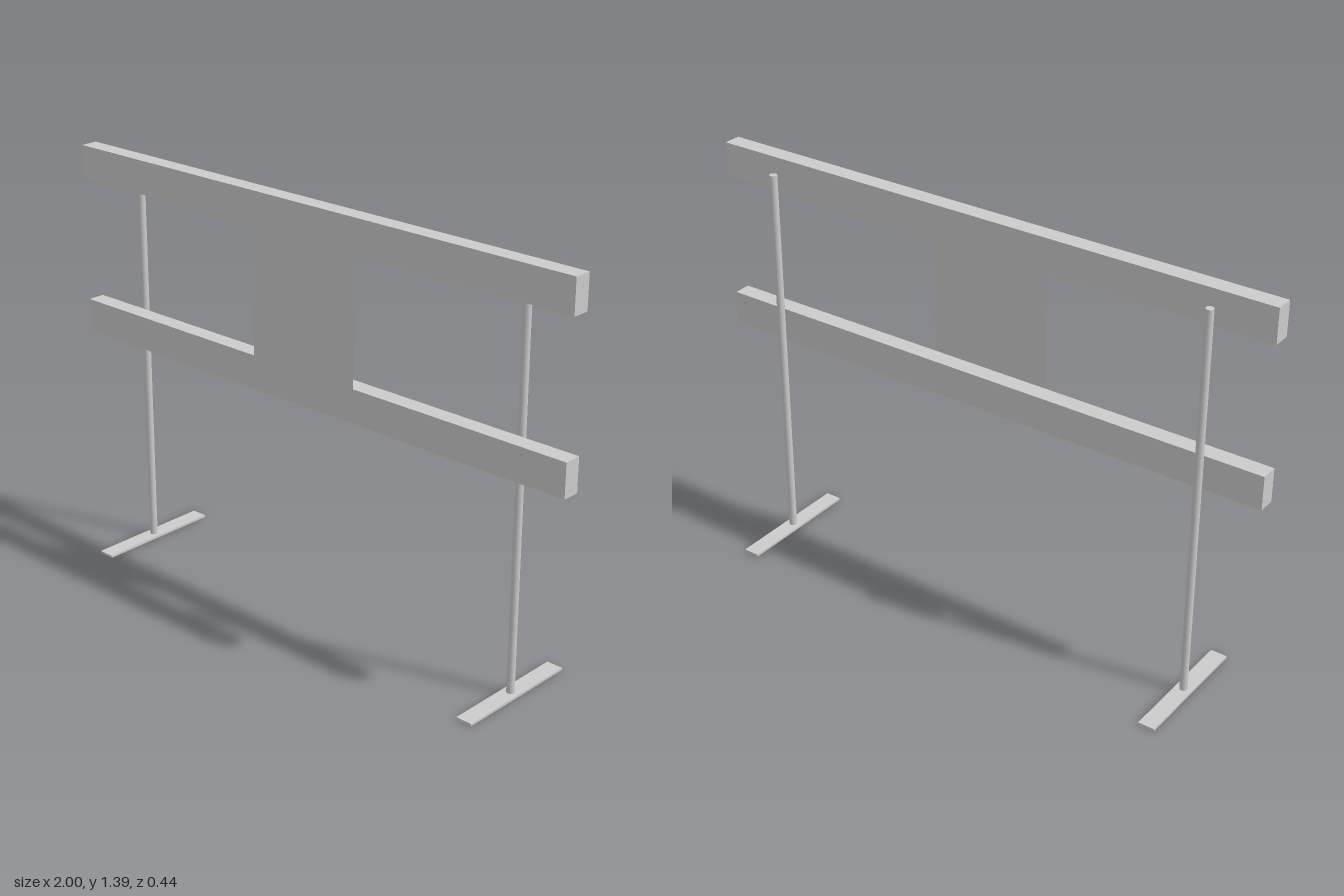
import * as THREE from 'three';

export function createModel() {
  const group = new THREE.Group();
  const material = new THREE.MeshStandardMaterial({ color: 0xcccccc });
  const thin = new THREE.MeshStandardMaterial({ color: 0xcccccc, side: THREE.DoubleSide });

  const add = (name, geometry, x, y, z, mat = material) => {
    const mesh = new THREE.Mesh(geometry, mat);
    mesh.name = name;
    mesh.position.set(x, y, z);
    group.add(mesh);
  };

  // Two long horizontal rails in front of the posts
  const railHeight = 0.113, railDepth = 0.059, railZ = 0.0425;
  const lowerY = 0.794, upperY = 1.331;
  add('lowerRail', new THREE.BoxGeometry(2, railHeight, railDepth), 0, lowerY, railZ);
  add('upperRail', new THREE.BoxGeometry(2, railHeight, railDepth), 0, upperY, railZ);

  // Thin centre panel, flush with the front of the rails
  add('centrePanel', new THREE.PlaneGeometry(0.42, upperY - lowerY - railHeight),
    0, (upperY + lowerY) / 2, railZ + railDepth / 2, thin);

  // Round posts on flat feet
  const postHeight = 1.331, footHeight = 0.008;
  for (const [side, x] of [['right', -0.796], ['left', 0.791]]) {
    add(side + 'Post', new THREE.CylinderGeometry(0.013, 0.013, postHeight - footHeight, 16),
      x, (postHeight + footHeight) / 2, 0);
    add(side + 'Foot', new THREE.BoxGeometry(0.056, footHeight, 0.444), x, footHeight / 2, 0);
  }

  return group;
}
